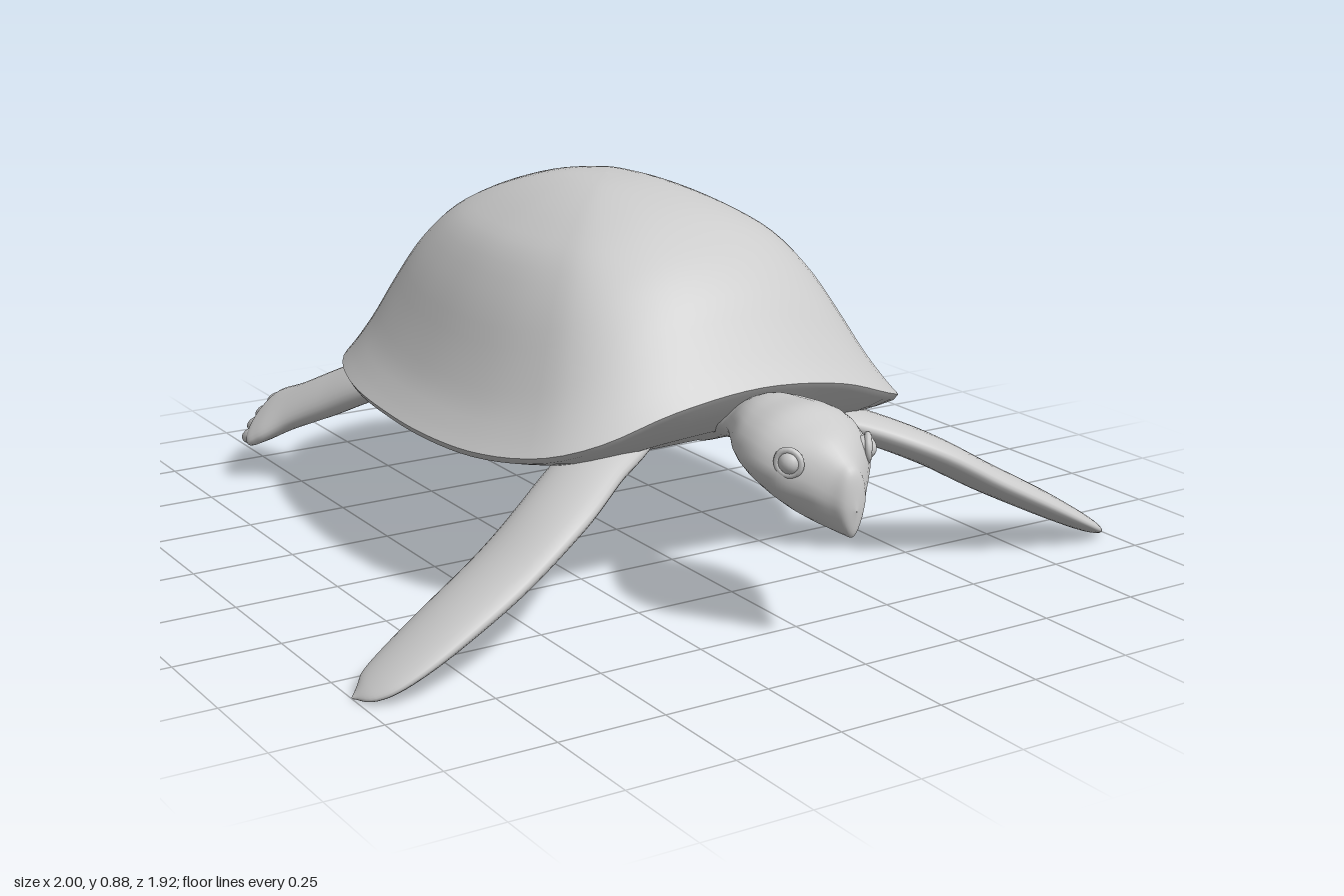
import * as THREE from 'three';

const material = new THREE.MeshStandardMaterial({ color: 0xcccccc, side: THREE.DoubleSide });
const V = (x, y, z) => new THREE.Vector3(x, y, z);

function addMesh(parent, name, geometry) {
  const mesh = new THREE.Mesh(geometry, material);
  mesh.name = name;
  parent.add(mesh);
  return mesh;
}

// Smooth skin over a list of closed rings of points
function skin(rings) {
  const n = rings[0].length;
  const index = [];
  for (let i = 0; i < rings.length - 1; i++) {
    for (let j = 0; j < n; j++) {
      const k = (j + 1) % n;
      const a = i * n + j, b = i * n + k, c = a + n, d = b + n;
      index.push(a, b, c, b, d, c);
    }
  }
  const geometry = new THREE.BufferGeometry().setFromPoints(rings.flat());
  geometry.setIndex(index);
  geometry.computeVertexNormals();
  return geometry;
}

// Loft oval sections [x, y, z, halfWidth, halfThickness]; taper narrows the lower half
function loft(sections, chord, { forward = null, taper = 0, steps = 48, sides = 28 } = {}) {
  const path = new THREE.CatmullRomCurve3(sections.map(s => V(s[0], s[1], s[2])), false, 'catmullrom', 0.5);
  const sizes = new THREE.CatmullRomCurve3(sections.map(s => V(s[3], s[4], 0)), false, 'catmullrom', 0.5);
  const rings = [];
  for (let i = 0; i <= steps; i++) {
    const p = path.getPoint(i / steps), size = sizes.getPoint(i / steps);
    const t = forward || path.getTangent(i / steps);
    const c = chord.clone().addScaledVector(t, -chord.dot(t)).normalize();
    const up = t.clone().cross(c);
    rings.push(Array.from({ length: sides }, (_, j) => {
      const a = j / sides * Math.PI * 2, s = Math.sin(a);
      const w = Math.cos(a) * Math.max(size.x, 0.001) * (1 + taper * Math.min(s, 0));
      return p.clone().addScaledVector(c, w).addScaledVector(up, s * Math.max(size.y, 0.001));
    }));
  }
  return skin(rings);
}

// Domed shell, lipped rim and nearly flat belly sharing one outline
function buildShell(parent) {
  const half = [
    [0, 0.38, -0.77], [0.12, 0.38, -0.75], [0.3, 0.375, -0.7], [0.4, 0.37, -0.645],
    [0.47, 0.365, -0.54], [0.53, 0.36, -0.35], [0.563, 0.36, -0.1], [0.567, 0.36, 0.1],
    [0.547, 0.365, 0.28], [0.505, 0.38, 0.42], [0.46, 0.4, 0.505], [0.38, 0.43, 0.565],
    [0.22, 0.485, 0.603], [0, 0.51, 0.61],
  ];
  const mirrored = half.slice(1, -1).reverse().map(([x, y, z]) => [-x, y, z]);
  const outline = new THREE.CatmullRomCurve3([...half, ...mirrored].map(p => V(...p)), true);
  const rim = outline.getSpacedPoints(96).slice(0, 96);
  const centreZ = -0.05, top = 0.88;

  const reach = [0, 0.15, 0.3, 0.45, 0.58, 0.7, 0.8, 0.88, 0.95, 1];
  const flank = [1, 0.985, 0.93, 0.84, 0.73, 0.54, 0.32, 0.16, 0.06, 0];
  const ends = [1, 0.988, 0.95, 0.885, 0.79, 0.66, 0.49, 0.29, 0.11, 0];
  const spline = h => new THREE.SplineCurve(reach.map((f, i) => new THREE.Vector2(f, h[i])));
  const flankCurve = spline(flank), endCurve = spline(ends);
  const ring = (f, height) => rim.map(p => V(p.x * f, height(p), centreZ + (p.z - centreZ) * f));

  const dome = [];
  for (let i = 0; i <= 30; i++) {
    const a = flankCurve.getPoint(i / 30), b = endCurve.getPoint(i / 30);
    dome.push(ring(a.x, p => {
      const dz = p.z - centreZ;
      const w = (dz * dz / (dz * dz + p.x * p.x)) ** 2;
      return p.y + (top - p.y) * THREE.MathUtils.lerp(a.y, b.y, w);
    }));
  }
  addMesh(parent, 'shell', skin(dome));

  // [outline scale, height at the sides, share of the rim's rise]
  const belly = [[1, 0.36, 1], [0.985, 0.345, 1], [0.93, 0.337, 0.75], [0.85, 0.328, 0.45],
    [0.7, 0.322, 0.15], [0.5, 0.32, 0], [0, 0.32, 0]];
  addMesh(parent, 'belly', skin(belly.map(([f, y, k]) => ring(f, p => y + (p.y - 0.36) * k))));
}

function buildHead(parent) {
  const head = new THREE.Group();
  head.name = 'head';
  parent.add(head);
  const sections = [
    [0.4, 0.385, 0.1, 0.05], [0.5, 0.415, 0.08, 0.045], [0.56, 0.42, 0.066, 0.055],
    [0.63, 0.42, 0.1, 0.084], [0.7, 0.41, 0.136, 0.1], [0.77, 0.4, 0.145, 0.111],
    [0.83, 0.383, 0.128, 0.108], [0.88, 0.367, 0.088, 0.1], [0.92, 0.347, 0.05, 0.083],
    [0.945, 0.335, 0.028, 0.066], [0.955, 0.325, 0.001, 0.001],
  ].map(([z, y, w, h]) => [0, y, z, w, h]);
  addMesh(head, 'headAndNeck', loft(sections, V(1, 0, 0), { forward: V(0, 0, 1), taper: 0.3, steps: 60 }));
  for (const s of [1, -1]) {
    const eye = addMesh(head, s > 0 ? 'leftEye' : 'rightEye', new THREE.SphereGeometry(0.027, 16, 12));
    eye.position.set(s * 0.096, 0.422, 0.85);
    const lid = addMesh(head, s > 0 ? 'leftEyelid' : 'rightEyelid', new THREE.TorusGeometry(0.027, 0.008, 8, 20));
    lid.position.set(s * 0.103, 0.422, 0.853);
    lid.rotation.y = s * 0.98;
  }
}

function buildLimbs(parent, s) {
  const side = s > 0 ? 'left' : 'right';
  const mirror = list => list.map(([x, ...rest]) => [s * x, ...rest]);

  // Long front flipper
  const flipper = mirror([
    [0.24, 0.365, 0.39, 0.09, 0.035], [0.36, 0.335, 0.46, 0.1, 0.038], [0.5, 0.275, 0.54, 0.108, 0.038],
    [0.64, 0.195, 0.58, 0.105, 0.036], [0.78, 0.12, 0.603, 0.098, 0.032], [0.89, 0.06, 0.613, 0.085, 0.025],
    [0.96, 0.022, 0.61, 0.06, 0.016], [1, 0.002, 0.6, 0.002, 0.002],
  ]);
  addMesh(parent, side + 'FrontFlipper', loft(flipper, V(0, 0, 1)));

  // Shorter rear leg, its outer edge hanging lower
  const chord = V(s * 0.085, -0.045, 0.065).normalize();
  const leg = mirror([
    [0.31, 0.36, -0.4, 0.08, 0.04], [0.37, 0.315, -0.54, 0.085, 0.045], [0.43, 0.25, -0.67, 0.085, 0.045],
    [0.485, 0.195, -0.78, 0.088, 0.04], [0.52, 0.16, -0.85, 0.108, 0.036], [0.535, 0.142, -0.885, 0.1, 0.028],
    [0.54, 0.135, -0.9, 0.002, 0.002],
  ]);
  addMesh(parent, side + 'RearLeg', loft(leg, chord));

  // Toes along the end of the foot
  const forward = V(s * 0.42, -0.32, -0.85).normalize();
  for (let i = 0; i < 4; i++) {
    const toe = addMesh(parent, side + 'Toe', new THREE.SphereGeometry(0.027, 14, 10));
    toe.scale.set(0.85, 1.7, 0.85);
    toe.position.set(s * 0.53, 0.145, -0.88).addScaledVector(chord, (i - 1.5) * 0.05)
      .addScaledVector(forward, i === 1 || i === 2 ? 0.012 : 0);
    toe.quaternion.setFromUnitVectors(V(0, 1, 0), forward);
  }
}

export function createModel() {
  const turtle = new THREE.Group();
  turtle.name = 'turtle';
  buildShell(turtle);
  buildHead(turtle);
  for (const s of [1, -1]) buildLimbs(turtle, s);
  return turtle;
}
